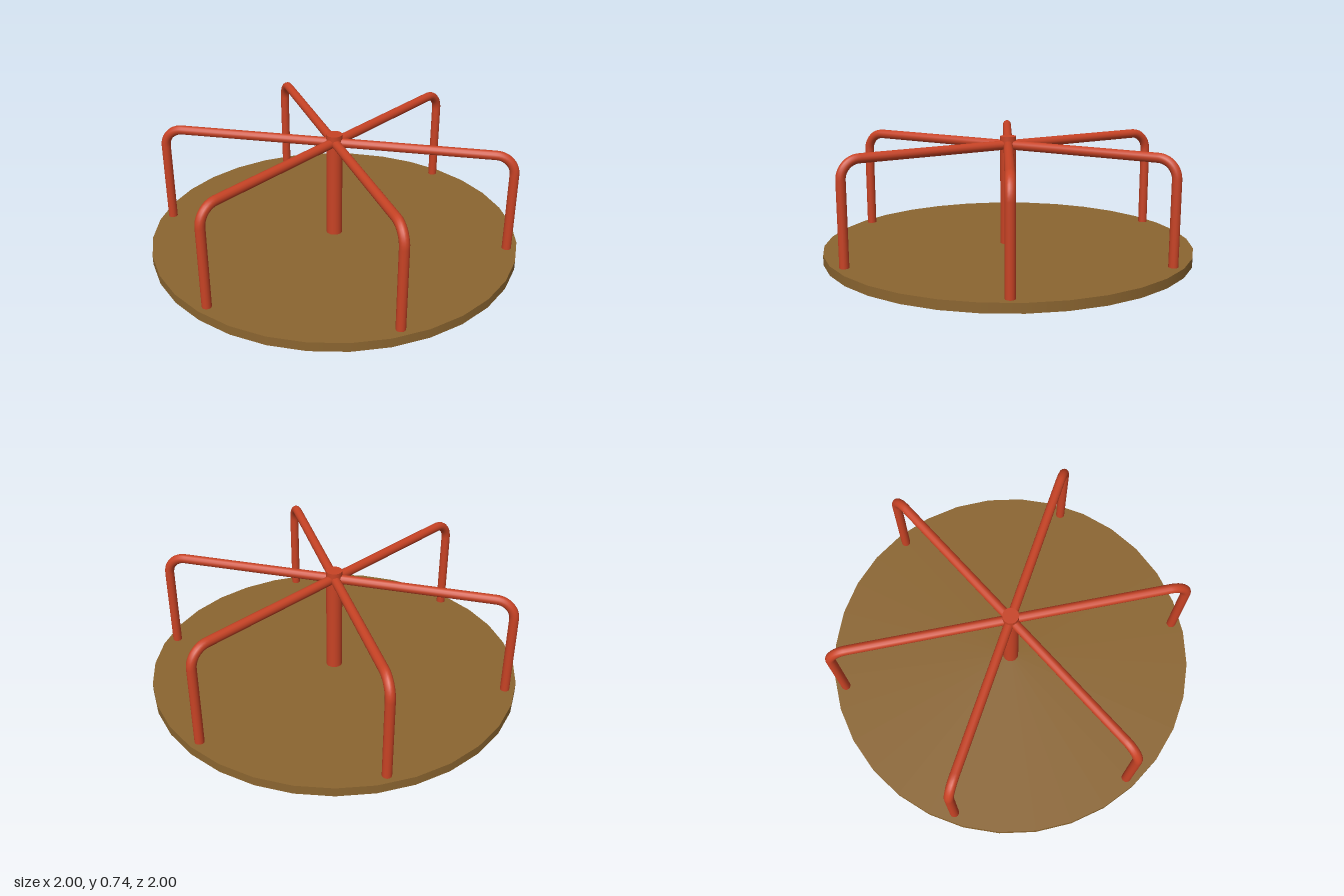
import * as THREE from 'three';

// One bent rail: up from the deck near the rim, round the corner, in to the post
function railPath(reach, height, foot, bend) {
  const k = bend * 0.5523; // handle length for a quarter circle
  const path = new THREE.CurvePath();
  const a = new THREE.Vector3(reach, height - bend, 0);
  const b = new THREE.Vector3(reach - bend, height, 0);
  path.add(new THREE.LineCurve3(new THREE.Vector3(reach, foot, 0), a));
  path.add(new THREE.CubicBezierCurve3(
    a,
    new THREE.Vector3(reach, height - bend + k, 0),
    new THREE.Vector3(reach - bend + k, height, 0),
    b
  ));
  path.add(new THREE.LineCurve3(b, new THREE.Vector3(0, height, 0)));
  return path;
}

export function createModel() {
  const model = new THREE.Group();
  model.name = 'merryGoRound';

  const wood = new THREE.MeshStandardMaterial({ color: 0x8b6530 });
  wood.name = 'brown deck';
  wood.side = THREE.DoubleSide;
  const red = new THREE.MeshStandardMaterial({ color: 0xc84325 });
  red.name = 'red paint';

  const add = (name, geometry, material, y = 0) => {
    const mesh = new THREE.Mesh(geometry, material);
    mesh.name = name;
    mesh.position.y = y;
    model.add(mesh);
    return mesh;
  };

  // Round platform and the open ring it stands on
  add('deck', new THREE.CylinderGeometry(1, 1, 0.05, 32), wood, 0.125);
  add('baseRing', new THREE.CylinderGeometry(0.183, 0.183, 0.1, 32, 1, true), wood, 0.05);

  // Centre post
  add('centrePost', new THREE.CylinderGeometry(0.043, 0.043, 0.6, 24), red, 0.44);

  // Six rails, two of them along the z axis
  const railGeometry = new THREE.TubeGeometry(railPath(0.944, 0.693, 0.14, 0.1), 90, 0.025, 14, false);
  for (let i = 0; i < 6; i++) {
    add('rail' + (i + 1), railGeometry, red).rotation.y = Math.PI / 6 + (i * Math.PI) / 3;
  }

  return model;
}
